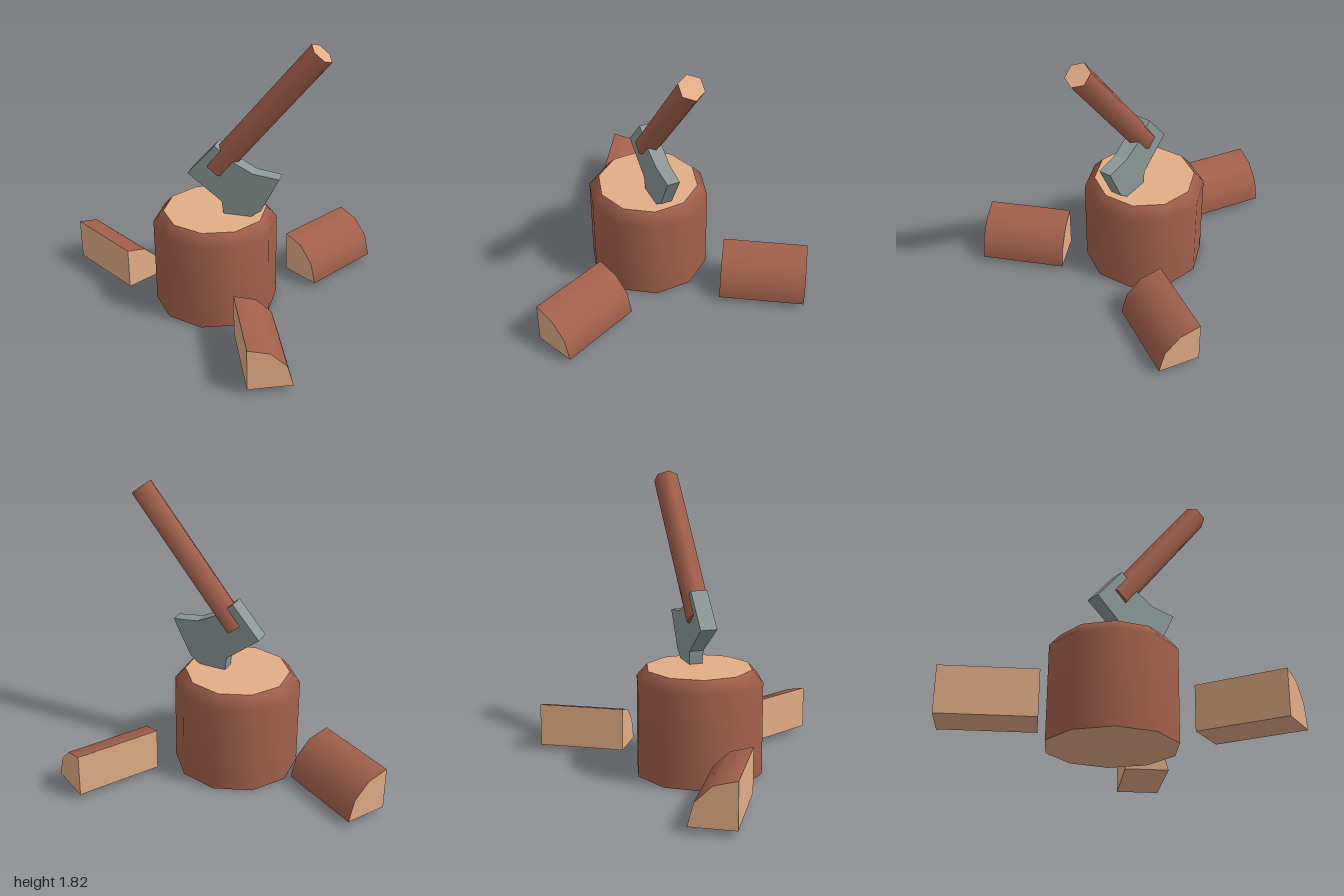
import * as THREE from 'three';
import { mergeGeometries } from 'three/addons/utils/BufferGeometryUtils.js';

const paint = (name, color) => {
  const m = new THREE.MeshStandardMaterial({ color });
  m.name = name;
  return m;
};

export function createModel() {
  const bark = paint('bark', 0xa2604c);
  const wood = paint('cutWood', 0xe2ad87);
  const steel = paint('steel', 0x8c9896);
  const root = new THREE.Group();
  root.name = 'choppingBlock';

  const add = (parent, name, geo, mat) => {
    const m = new THREE.Mesh(geo, mat);
    m.name = name;
    parent.add(m);
    return m;
  };

  // Ten-sided stump with a bevelled rim and pale cut faces
  const stump = new THREE.Group();
  stump.name = 'stump';
  stump.position.set(-0.225, 0, -0.12);
  root.add(stump);
  const profile = [[0.4, 0], [0.4, 0.58], [0.333, 0.655]].map(p => new THREE.Vector2(...p));
  add(stump, 'stumpBark', new THREE.LatheGeometry(profile, 10), bark);
  const top = add(stump, 'stumpTop', new THREE.CircleGeometry(0.333, 10, Math.PI / 2), wood);
  top.rotation.x = -Math.PI / 2;
  top.rotation.z = Math.PI;
  top.position.y = 0.655;
  const base = add(stump, 'stumpBase', new THREE.CircleGeometry(0.4, 10, Math.PI / 2), wood);
  base.rotation.x = Math.PI / 2;

  // Quarter-split logs: corner edge on the local z axis, bark towards +x and +y
  const R = 0.275, L = 0.558;
  const barkGeo = new THREE.CylinderGeometry(R, R, L, 3, 1, true, 0, Math.PI / 2)
    .rotateX(-Math.PI / 2).rotateZ(Math.PI / 2).translate(0, 0, L / 2);
  const end = () => new THREE.CircleGeometry(R, 3, 0, Math.PI / 2);
  const flipped = new THREE.CircleGeometry(R, 3, Math.PI / 2, Math.PI / 2).rotateY(Math.PI);
  const woodGeo = mergeGeometries([
    end().translate(0, 0, L),
    flipped,
    new THREE.PlaneGeometry(R, L).rotateX(Math.PI / 2).translate(R / 2, 0, L / 2),
    new THREE.PlaneGeometry(L, R).rotateY(-Math.PI / 2).translate(0, R / 2, L / 2),
  ]);
  // The bark arc must lie in the +x, +y quadrant whichever way it was turned
  barkGeo.computeBoundingBox();
  const c = barkGeo.boundingBox.getCenter(new THREE.Vector3());
  if (c.x < 0 && c.y > 0) barkGeo.rotateZ(-Math.PI / 2);
  else if (c.x < 0) barkGeo.rotateZ(Math.PI);
  else if (c.y < 0) barkGeo.rotateZ(Math.PI / 2);

  for (const [name, x, z, turn] of [
    ['frontLog', -0.31, 0.387, -0.257],
    ['leftLog', 0.84, -0.37, -1.222],
    ['backLog', -0.94, -0.91, 0.347],
  ]) {
    const log = new THREE.Group();
    log.name = name;
    log.position.set(x, 0.035, z);
    log.rotation.y = turn;
    add(log, 'logBark', barkGeo, bark);
    add(log, 'logSplitFaces', woodGeo, wood);
    root.add(log);
  }

  // Axe: local y runs along the handle, local x from the poll to the blade
  const axe = new THREE.Group();
  axe.name = 'axe';
  axe.position.set(-0.352, 0.915, -0.217);
  axe.rotation.set(0, -0.684, -0.71, 'YXZ');
  root.add(axe);

  const outline = [[0, 0], [0.281, 0.011], [0.435, -0.13], [0.5, 0.15],
    [0.435, 0.407], [0.294, 0.312], [0.167, 0.281], [0, 0.277]];
  const headGeo = new THREE.ExtrudeGeometry(
    new THREE.Shape(outline.map(p => new THREE.Vector2(...p))),
    { depth: 1, bevelEnabled: false });
  // Thin the head gently towards the blade
  const pos = headGeo.attributes.position;
  for (let i = 0; i < pos.count; i++) {
    pos.setZ(i, (pos.getZ(i) - 0.5) * (0.106 - 0.055 * pos.getX(i)));
  }
  headGeo.computeVertexNormals();
  add(axe, 'axeHead', headGeo, steel);

  // Six-sided handle with a pale cut end
  const handle = add(axe, 'axeHandle',
    new THREE.CylinderGeometry(0.08, 0.08, 1.05, 6, 1, false, Math.PI / 2),
    [bark, wood, bark]);
  handle.position.set(0.0875, 0.665, 0);
  handle.rotation.z = 0.033;

  return root;
}
